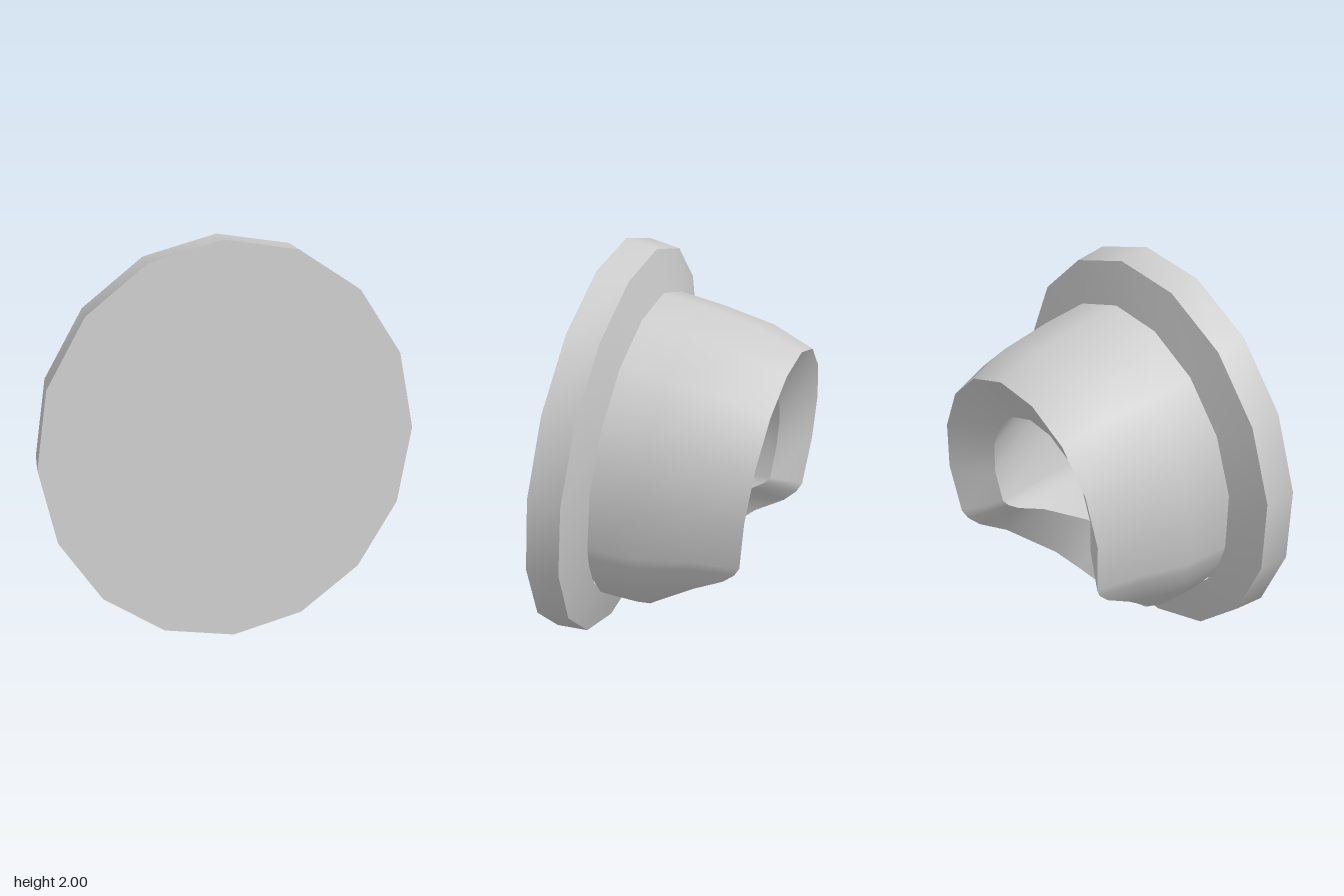
import * as THREE from 'three';

const RAD = Math.PI / 180;
const material = new THREE.MeshStandardMaterial({ color: 0xcccccc });

// Mirror a list of right-half angles (0 = top, 180 = bottom) into a full loop
const fullLoop = (half) => [...half, ...half.slice(1, -1).reverse().map((a) => 360 - a)];
const PLATE_ANGLES = Array.from({ length: 16 }, (_, i) => i * 22.5);

// Half-loop angles of the body and the depth its open rim reaches at each one
const RIM = [
  [0, 0.711], [22.5, 0.711], [45, 0.711], [67.5, 0.711], [90, 0.711], [112.5, 0.711],
  [117, 0.69], [122.5, 0.636], [131, 0.496], [146.6, 0.288], [157.5, 0.225], [180, 0.197],
];
const BODY_ANGLES = fullLoop(RIM.map((r) => r[0]));
const RIM_DEPTHS = BODY_ANGLES.map((a) => RIM.find((r) => Math.abs(r[0] - Math.min(a, 360 - a)) < 0.01)[1]);

// Body sections: depth behind the flange, centre height, half width, half height
const PROFILE = [
  [0, 0.975, 0.69, 0.775], [0.196, 0.945, 0.685, 0.765],
  [0.5, 0.935, 0.642, 0.692], [0.711, 0.89, 0.58, 0.64],
];

function section(w) {
  let k = 0;
  while (k < PROFILE.length - 2 && w > PROFILE[k + 1][0]) k++;
  const [p, q] = [PROFILE[k], PROFILE[k + 1]];
  const t = (w - p[0]) / (q[0] - p[0]);
  return p.map((v, i) => v + (q[i] - v) * t);
}

// Every section lies in a plane leaning backwards
const leaning = (x, y, z0) => new THREE.Vector3(x, y, z0 - 0.137 * y);

function ellipse(angles, cy, rx, ry, z0) {
  return angles.map((a) => leaning(rx * Math.sin(a * RAD), cy + ry * Math.cos(a * RAD), z0));
}

function bodyPoint(angle, w) {
  const [, cy, rx, ry] = section(w);
  return leaning(rx * Math.sin(angle * RAD), cy + ry * Math.cos(angle * RAD), 0.352 - w);
}

// Skin a series of closed loops
function loft(name, rings) {
  const n = rings[0].length;
  const index = [];
  for (let k = 0; k < rings.length - 1; k++) {
    for (let i = 0; i < n; i++) {
      const j = (i + 1) % n;
      const [a, b, c, d] = [k * n + i, k * n + j, (k + 1) * n + i, (k + 1) * n + j];
      index.push(a, b, c, b, d, c);
    }
  }
  const geometry = new THREE.BufferGeometry().setFromPoints(rings.flat());
  geometry.setIndex(index);
  geometry.computeVertexNormals();
  const mesh = new THREE.Mesh(geometry, material);
  mesh.name = name;
  return mesh;
}

export function createModel() {
  const model = new THREE.Group();
  model.name = 'hollowPlug';

  // Front plate with its side band and the shallow cone behind it
  const front = ellipse(PLATE_ANGLES, 1.0025, 0.89, 0.9975, 0.572);
  const back = ellipse(PLATE_ANGLES, 0.982, 0.88, 0.978, 0.413);
  const neck = ellipse(PLATE_ANGLES, 0.975, 0.69, 0.775, 0.352);
  const frontCentre = ellipse(PLATE_ANGLES, 1.0025, 0, 0, 0.572);
  model.add(
    loft('plateFace', [frontCentre, front]),
    loft('plateSide', [front, back]),
    loft('plateBack', [back, neck]),
  );

  // Tapering body, its rim swept forward at the bottom
  const bodyRings = [0, 0.33, 0.7, 1].map((t) =>
    BODY_ANGLES.map((a, i) => bodyPoint(a, RIM_DEPTHS[i] * t)));
  model.add(loft('body', bodyRings));

  // Funnel from the rim to the lip of the opening
  const rim = bodyRings[3];
  const lip = rim.map((p, i) =>
    leaning(p.x * 0.64, 0.9 + (p.y - 0.9) * 0.64, 0.352 - RIM_DEPTHS[i] + 0.13));
  model.add(loft('rimFunnel', [rim, lip]));

  // Hollow inside, widening towards a flat floor
  const floor = ellipse(BODY_ANGLES, 0.965, 0.57, 0.64, 0.352);
  const floorCentre = ellipse(BODY_ANGLES, 0.965, 0, 0, 0.352);
  model.add(loft('innerWall', [lip, floor]), loft('innerFloor', [floor, floorCentre]));

  return model;
}
